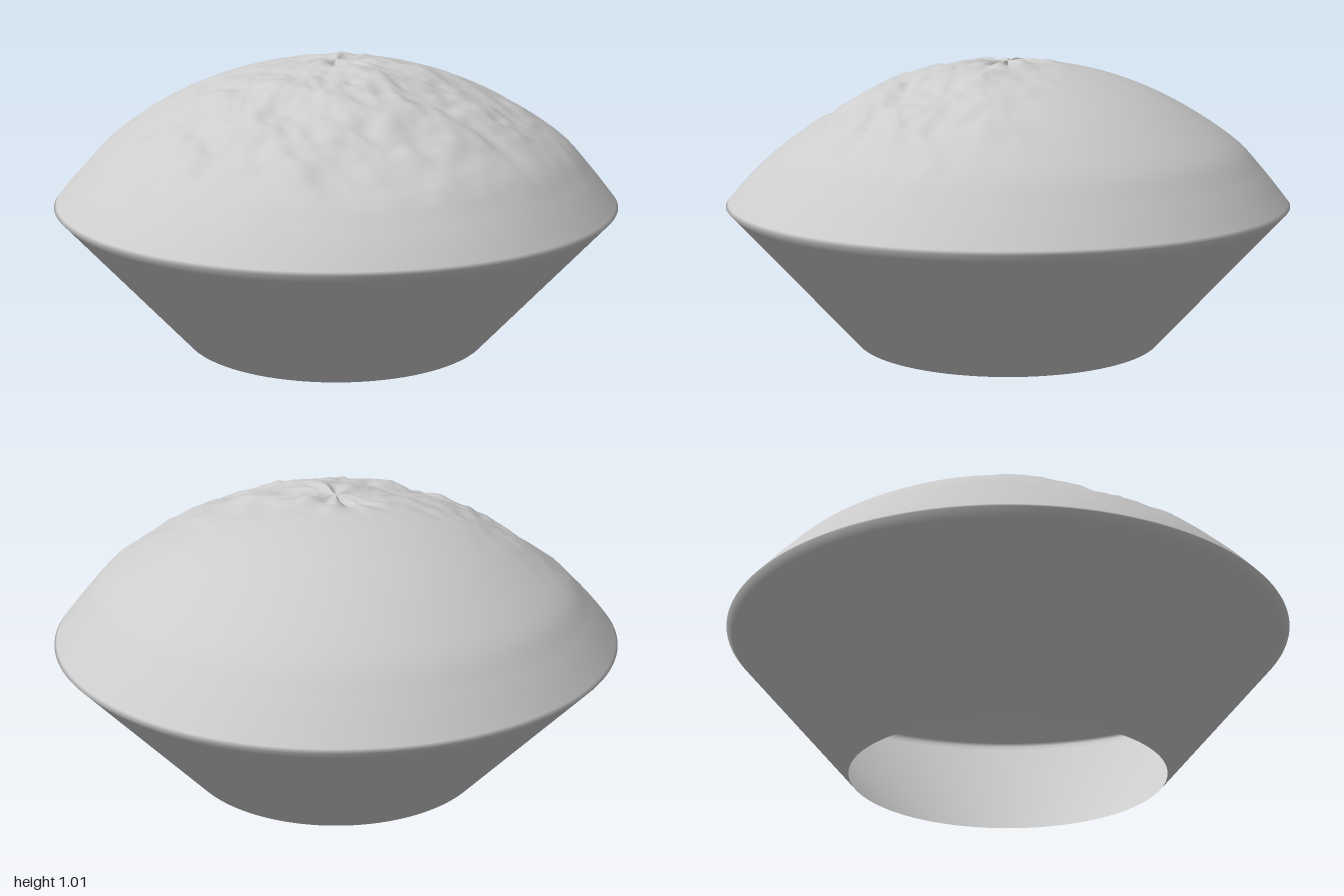
import * as THREE from 'three';
import { mergeVertices } from 'three/addons/utils/BufferGeometryUtils.js';

// Seeded value noise, -1..1
function hash(i, j) {
  const s = Math.sin(i * 127.1 + j * 311.7 + 17.3) * 43758.5453;
  return (s - Math.floor(s)) * 2 - 1;
}
function noise(x, y) {
  const i = Math.floor(x), j = Math.floor(y);
  const ease = (t) => t * t * (3 - 2 * t);
  const u = ease(x - i), v = ease(y - j);
  const a = THREE.MathUtils.lerp(hash(i, j), hash(i + 1, j), u);
  const b = THREE.MathUtils.lerp(hash(i, j + 1), hash(i + 1, j + 1), u);
  return THREE.MathUtils.lerp(a, b, v);
}

// Height offset of the weathered crown: strongest towards front and left, none at the rim
function roughness(x, z) {
  const { smoothstep } = THREE.MathUtils;
  const r = Math.hypot(x, z);
  const fade = 1 - smoothstep(r, 0.6, 0.97);
  const side = smoothstep(z * 0.85 + x * 0.5, -0.3, 0.3);
  const mask = fade * Math.max(side, 0.8 * (1 - smoothstep(r, 0.05, 0.3)));
  const bumps = 0.016 * noise(x * 7, z * 9) + 0.009 * noise(x * 16 + 5, z * 20)
    + 0.004 * noise(x * 34, z * 38 + 9);
  const sunk = -0.03 * smoothstep(z, 0.2, 0.6) * (1 - smoothstep(r, 0.75, 1));
  // Pleats radiating from the peak
  const angle = Math.atan2(z, x);
  const pleats = 0.008 * Math.sin(angle * 9 + 2 * Math.sin(angle * 2))
    * smoothstep(r, 0, 0.06) * (1 - smoothstep(r, 0.08, 0.24));
  return mask * bumps + sunk + pleats;
}

export function createModel() {
  const group = new THREE.Group();
  const grey = new THREE.MeshStandardMaterial({ color: 0xcccccc, side: THREE.DoubleSide });
  grey.name = 'plain grey';

  // Profile: straight flared base, open below, then the domed crown
  const profile = [];
  for (const t of [0, 0.25, 0.5, 0.75, 0.95, 1]) {
    profile.push(new THREE.Vector2(0.55 + 0.45 * t, 0.505 * t));
  }
  const dome = new THREE.SplineCurve([
    [1, 0.505], [0.9, 0.628], [0.8, 0.73], [0.6, 0.857],
    [0.4, 0.942], [0.2, 0.989], [0, 1.003],
  ].map(([r, y]) => new THREE.Vector2(r, y)));
  profile.push(...dome.getSpacedPoints(80).slice(1));
  profile[profile.length - 1].x = 0;

  // Spin, roughen the crown, and weld for continuous smooth normals
  let shell = new THREE.LatheGeometry(profile, 192);
  const pos = shell.attributes.position;
  for (let i = 0; i < pos.count; i++) {
    const x = pos.getX(i), y = pos.getY(i), z = pos.getZ(i);
    if (y > 0.51) pos.setY(i, y + roughness(x, z));
  }
  shell.deleteAttribute('uv');
  shell.deleteAttribute('normal');
  shell = mergeVertices(shell, 1e-5);
  shell.computeVertexNormals();

  const mesh = new THREE.Mesh(shell, grey);
  mesh.name = 'domedShell';
  group.add(mesh);
  return group;
}
